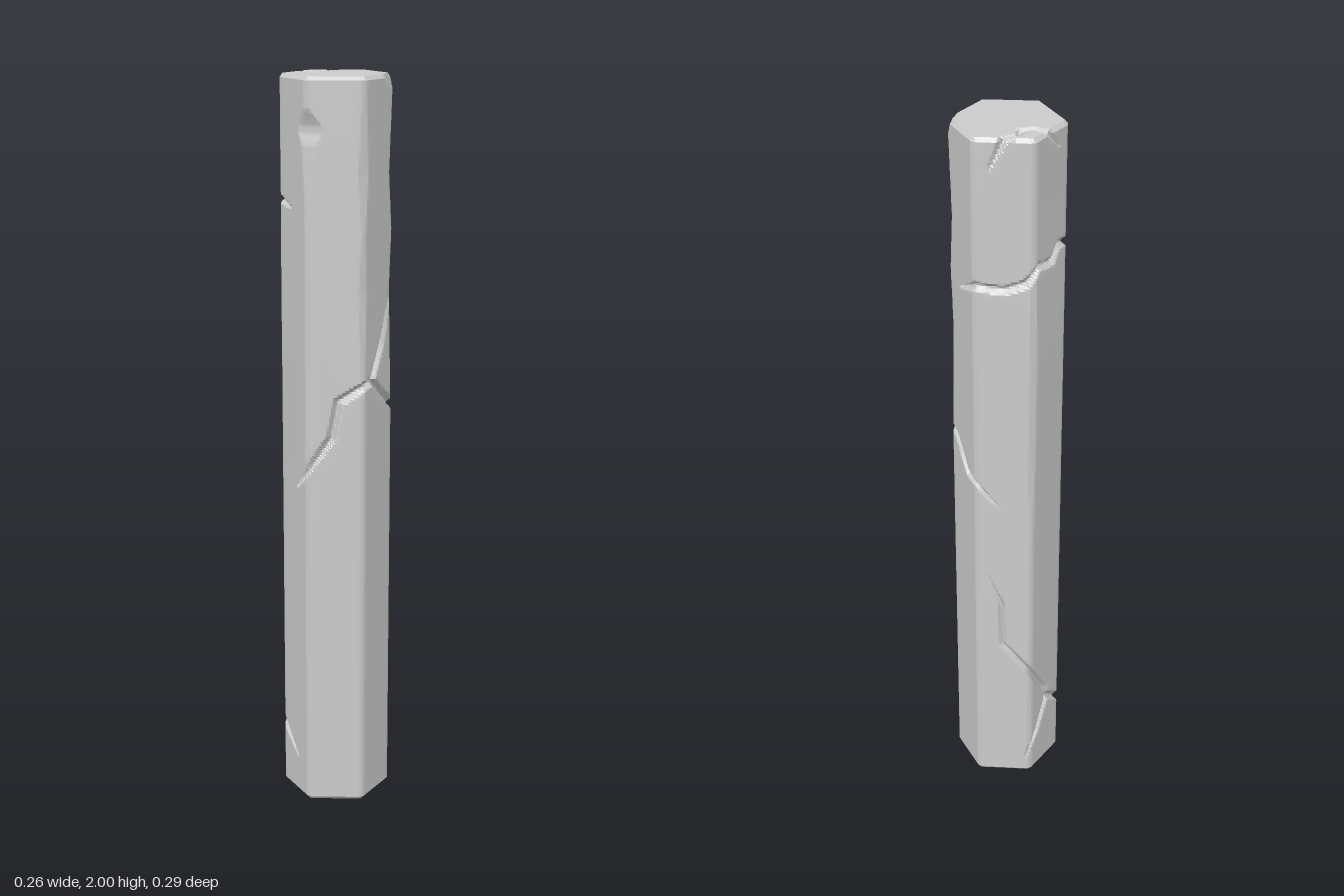
import * as THREE from 'three';
import { toCreasedNormals } from 'three/addons/utils/BufferGeometryUtils.js';

const R = 0.15, H = 2, SIDE_COLS = 26, COLS = SIDE_COLS * 6, RIM = 0.01;

// Hexagon corner k, counted from the front towards the model's left
const corner = k => new THREE.Vector3(Math.sin(k * Math.PI / 3), 0, Math.cos(k * Math.PI / 3)).multiplyScalar(R);

// Point on the wall: u runs 0..6 around the corners, w is crack width there
function wall(u, y, w = 1) {
  const k = Math.floor(u);
  const p = corner(k).lerp(corner(k + 1), u - k);
  return new THREE.Vector4(p.x, y, p.z, w);
}
const topPoint = (x, z) => new THREE.Vector4(x, H, z, 0.8);
const path = points => points.map(p => wall(...p));

const cracks = [
  // middle crack, wrapping from the front round the left side to the back
  path([[-0.38, 0.91, 0.2], [0, 0.97, 0.7], [0.42, 1.06], [0.55, 1.16], [1, 1.2], [1.3, 1.21],
    [1.68, 1.16], [2, 1.125], [2.23, 1.11], [2.65, 1.03], [3, 1.02, 0.7], [3.4, 0.95, 0.2]]),
  path([[1.3, 1.21], [1.62, 1.3], [1.72, 1.34, 0.8], [1.92, 1.45, 0.2]]),
  // upper crack across the back
  path([[2.4, 1.57, 0.2], [3, 1.61], [3.5, 1.6], [3.87, 1.62], [4, 1.64], [4.15, 1.66], [4.55, 1.65],
    [4.75, 1.69], [5, 1.68], [5.5, 1.66, 0.2]]),
  // lower forked crack
  path([[3.2, 0.72, 0.2], [3.45, 0.62, 0.7], [3.47, 0.48, 0.7], [4, 0.38], [4.5, 0.27], [4.58, 0.235],
    [5, 0.19], [5.6, 0.11, 0.2]]),
  path([[4.58, 0.235], [4.25, 0.14, 0.8], [4, 0.09, 0.6], [3.9, 0.05, 0.2]]),
  // crack over the top around one corner
  [wall(3.25, 1.92, 0.3), wall(3.5, H), topPoint(-0.08, -0.07), topPoint(-0.065, -0.04),
    topPoint(-0.09, -0.015), wall(4.4, H), wall(4.7, 1.95, 0.3)],
];

// Crack depth at a point, from the nearest segment
function crackDepth(p) {
  let depth = 0;
  for (const c of cracks) {
    for (let i = 0; i + 1 < c.length; i++) {
      const a = c[i], b = c[i + 1];
      if (p.y < Math.min(a.y, b.y) - 0.03 || p.y > Math.max(a.y, b.y) + 0.03) continue;
      const dx = b.x - a.x, dy = b.y - a.y, dz = b.z - a.z;
      const t = THREE.MathUtils.clamp(((p.x - a.x) * dx + (p.y - a.y) * dy + (p.z - a.z) * dz)
        / (dx * dx + dy * dy + dz * dz), 0, 1);
      const d = Math.hypot(p.x - a.x - t * dx, p.y - a.y - t * dy, p.z - a.z - t * dz);
      const w = a.w + (b.w - a.w) * t;
      depth = Math.max(depth, w * 0.014 * THREE.MathUtils.clamp(1.4 * (1 - d / (0.013 * w)), 0, 1));
    }
  }
  return depth;
}

// Wear of each corner edge, as [height, depth] steps
const plain = [[0, 0.004], [2, 0.004]];
const wear = [
  [[0, 0.004], [1.7, 0.004], [1.83, 0.011], [1.86, 0.021], [1.88, 0.02], [1.92, 0.004], [2, 0.004]],
  [[0, 0.004], [1.2, 0.004], [1.45, 0.009], [1.6, 0.004], [1.75, 0.009], [1.95, 0.004], [2, 0.004]],
  [[0, 0.004], [1.1, 0.004], [1.45, 0.011], [1.6, 0.006], [1.75, 0.013], [2, 0.005]],
  plain,
  [[0, 0.004], [0.9, 0.004], [1.1, 0.007], [1.4, 0.004], [2, 0.004]],
  plain,
];
function step(list, y) {
  let i = 0;
  while (i < list.length - 2 && y > list[i + 1][0]) i++;
  const [y0, a] = list[i], [y1, b] = list[i + 1];
  return THREE.MathUtils.mapLinear(THREE.MathUtils.clamp(y, y0, y1), y0, y1, a, b);
}

// Broken top corner
const chip = new THREE.Plane().setFromCoplanarPoints(new THREE.Vector3(0.105, 2, -0.09),
  new THREE.Vector3(0.127, 2, -0.02), new THREE.Vector3(0.133, 1.94, -0.06));
if (chip.distanceToPoint(new THREE.Vector3()) > 0) chip.negate();

function shape(p, onCap) {
  // gentle bulge of the upper half
  const swell = 0.025 * Math.exp(-(((p.y - 1.42) / 0.2) ** 2));
  p.x *= 1 + (p.x < 0 ? swell : -0.6 * swell);
  for (let k = 0; k < 6; k++) {
    const dir = corner(k).normalize();
    const over = p.dot(dir) - (R - step(wear[k], p.y));
    if (over > 0) p.addScaledVector(dir, -over);
  }
  const out = chip.distanceToPoint(p);
  if (out > 0) p.addScaledVector(chip.normal, -out);
  const depth = crackDepth(p);
  if (onCap) p.y -= depth;
  else if (depth > 0) p.addScaledVector(new THREE.Vector3(p.x, 0, p.z).normalize(), -depth);
}

function columnGeometry() {
  // rows as [height, scale]: base, wall, top rim, then rings across the top
  const rows = [[0, 0], [0, 0.93]];
  const wallRows = 310, rings = 20;
  for (let i = 0; i <= wallRows; i++) rows.push([RIM + (H - 2 * RIM) * i / wallRows, 1]);
  for (let i = 0; i <= rings; i++) rows.push([H, 0.93 * (1 - i / rings)]);

  const positions = [], index = [];
  rows.forEach(([y, s], r) => {
    for (let c = 0; c < COLS; c++) {
      const q = wall(c / SIDE_COLS, y);
      const p = new THREE.Vector3(q.x * s, y, q.z * s);
      shape(p, y === H);
      positions.push(p.x, p.y, p.z);
      if (r === rows.length - 1) continue;
      const n = (c + 1) % COLS, a = r * COLS + c, b = r * COLS + n;
      if (s > 0) index.push(a, b, a + COLS);
      if (rows[r + 1][1] > 0) index.push(b, b + COLS, a + COLS);
    }
  });
  const g = new THREE.BufferGeometry();
  g.setAttribute('position', new THREE.Float32BufferAttribute(positions, 3));
  g.setIndex(index);
  return toCreasedNormals(g, 0.4);
}

export function createModel() {
  const model = new THREE.Group();
  model.name = 'crackedStoneColumn';
  const column = new THREE.Mesh(columnGeometry(), new THREE.MeshStandardMaterial({ color: 0xcccccc }));
  column.name = 'hexagonalColumn';
  model.add(column);
  return model;
}
